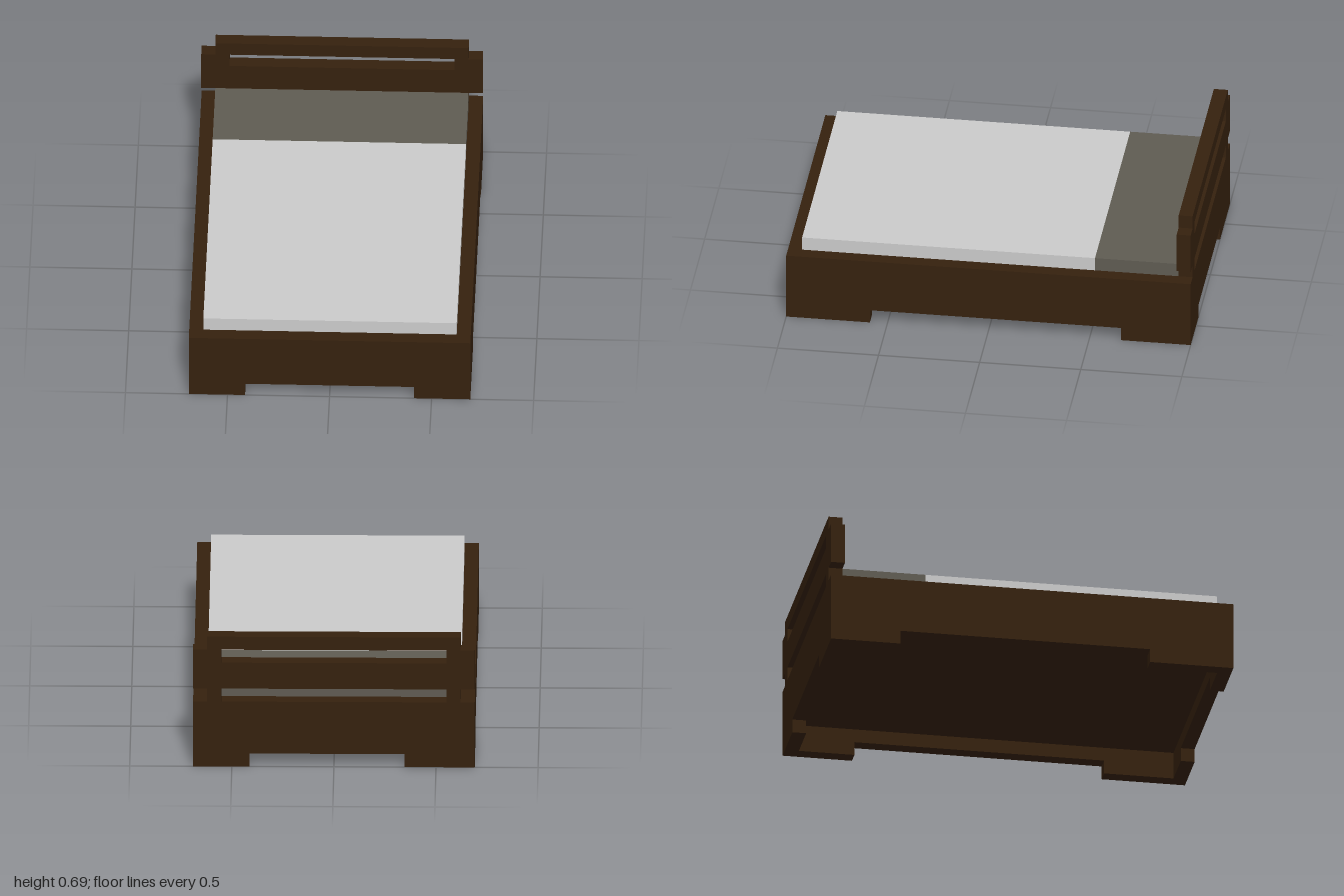
import * as THREE from 'three';

const U = 2 / 29; // one grid step: the bed is 29 long, 20 wide and 10 high

const wood = new THREE.MeshStandardMaterial({ name: 'dark wood', color: 0x35210e });
const linen = new THREE.MeshStandardMaterial({ name: 'light linen', color: 0xcacaca });
const cover = new THREE.MeshStandardMaterial({ name: 'grey cover', color: 0x5f5b52 });

// One-step-thick board cut from an outline given in grid steps
function board(name, outline, holes = []) {
  const toPoints = (list) => list.map(([x, y]) => new THREE.Vector2(x * U, y * U));
  const shape = new THREE.Shape(toPoints(outline));
  for (const hole of holes) shape.holes.push(new THREE.Path(toPoints(hole)));
  const mesh = new THREE.Mesh(new THREE.ExtrudeGeometry(shape, { depth: U, bevelEnabled: false }), wood);
  mesh.name = name;
  return mesh;
}

// Rail from x = a to b with feet at both ends and a notch from c to d
const rail = (name, a, b, c, d) =>
  board(name, [[a, 0], [c, 0], [c, 1], [d, 1], [d, 0], [b, 0], [b, 5], [a, 5]]);

// Box between two corners given in grid steps
function block(name, [x0, y0, z0], [x1, y1, z1], material) {
  const mesh = new THREE.Mesh(new THREE.BoxGeometry((x1 - x0) * U, (y1 - y0) * U, (z1 - z0) * U), material);
  mesh.position.set((x0 + x1) * U / 2, (y0 + y1) * U / 2, (z0 + z1) * U / 2);
  mesh.name = name;
  return mesh;
}

export function createModel() {
  const bed = new THREE.Group();
  bed.name = 'bed';

  // Front and back rails with feet; the back foot on one side is longer
  const frontRail = rail('frontRail', -10, 10, -6, 6);
  frontRail.position.z = 13.5 * U;
  const backRail = rail('backRail', -10, 10, -5, 6);
  backRail.position.z = -14.5 * U;
  bed.add(frontRail, backRail);

  // Side rails, turned so that their length runs along z
  for (const [name, x] of [['leftRail', 9], ['rightRail', -10]]) {
    const side = rail(name, -13.5, 13.5, -9.5, 8.5);
    side.rotation.y = -Math.PI / 2;
    side.position.x = (x + 1) * U;
    bed.add(side);
  }

  // Headboard on two short posts, with a slot below the top bar
  const half = [[8, 5], [9, 5], [9, 6], [10, 6], [10, 9], [9, 9], [9, 10]];
  const mirrored = half.map(([x, y]) => [-x, y]).reverse();
  const headboard = board(
    'headboard',
    [[8, 6], ...half, ...mirrored, [-8, 6]],
    [[[-8, 8], [-8, 9], [8, 9], [8, 8]]]
  );
  headboard.position.z = -14.5 * U;
  bed.add(headboard);

  // Base inside the rails, raised above their lower edge
  bed.add(block('base', [-9, 2, -13.5], [9, 5, 13.5], wood));

  // Mattress and the darker head end
  bed.add(block('mattress', [-9, 5, -7.5], [9, 6, 13.5], linen));
  bed.add(block('pillowArea', [-9, 5, -13.5], [9, 6, -7.5], cover));

  return bed;
}
